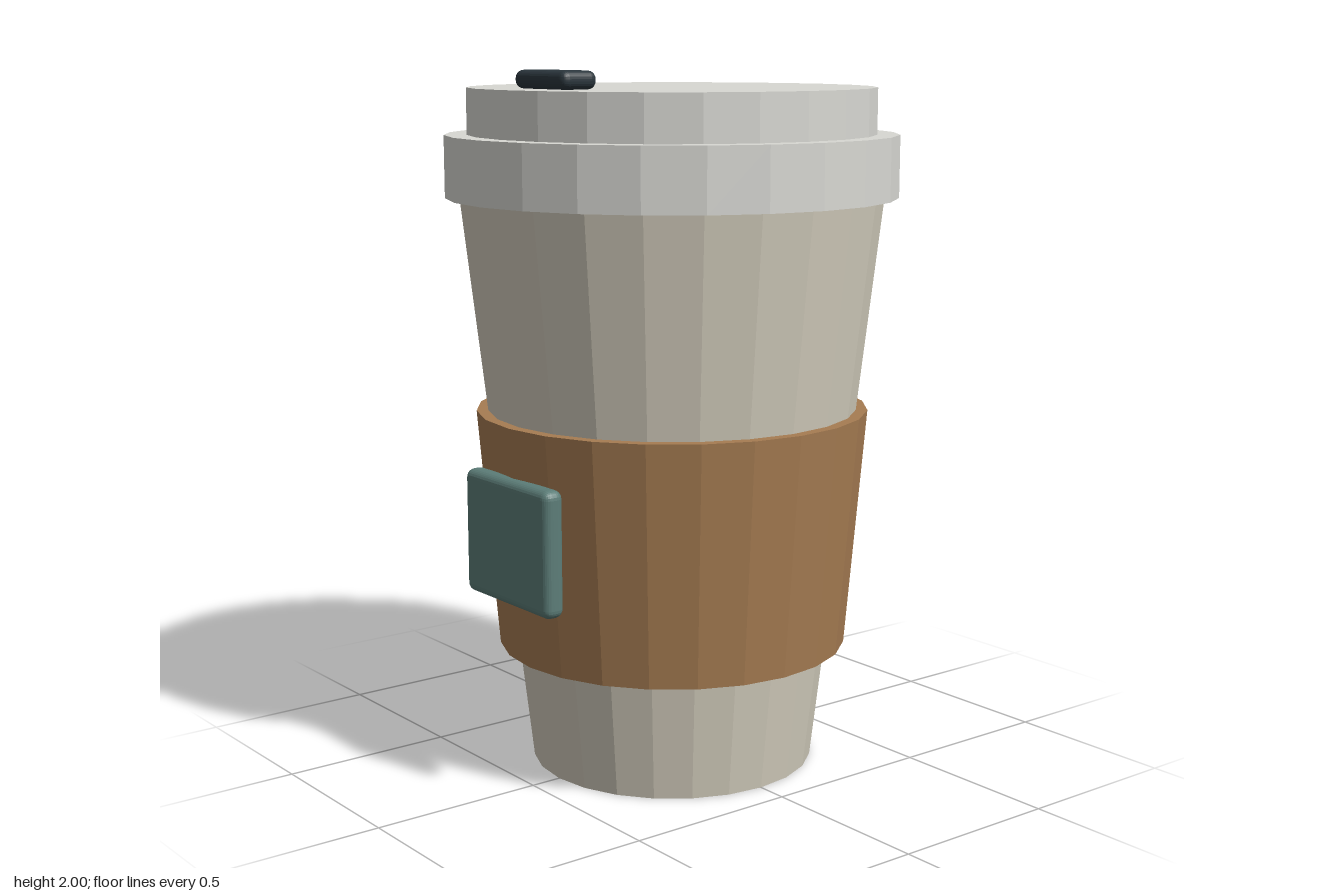
import * as THREE from 'three';
import { RoundedBoxGeometry } from 'three/addons/geometries/RoundedBoxGeometry.js';

const SIDES = 24;

export function createModel() {
  const cup = new THREE.Group();
  cup.name = 'travelCup';

  function add(name, geometry, color, x, y, z) {
    const material = new THREE.MeshStandardMaterial({ color, flatShading: true });
    const mesh = new THREE.Mesh(geometry, material);
    mesh.name = name;
    mesh.position.set(x, y, z);
    cup.add(mesh);
  }

  // Faceted round section between two heights
  function ring(name, color, y0, y1, r0, r1) {
    add(name, new THREE.CylinderGeometry(r1, r0, y1 - y0, SIDES), color, 0, (y0 + y1) / 2, 0);
  }

  // Tapered cup with a thicker sleeve around it
  ring('cupBody', 0xd2ccbc, 0, 1.65, 0.41, 0.6);
  ring('sleeve', 0xa67c52, 0.35, 1.04, 0.505, 0.563);

  // Two-step lid
  ring('lidRim', 0xd8d8d3, 1.645, 1.82, 0.64, 0.64);
  ring('lidTop', 0xd8d8d3, 1.82, 1.95, 0.576, 0.576);

  // Sip opening cover on the lid, badge on the sleeve front
  add('sipCover', new RoundedBoxGeometry(0.24, 0.05, 0.115, 3, 0.022), 0x2b363d, 0, 1.975, 0.397);
  add('sleeveBadge', new RoundedBoxGeometry(0.405, 0.355, 0.064, 3, 0.025), 0x5c7d78, 0, 0.722, 0.552);

  return cup;
}
